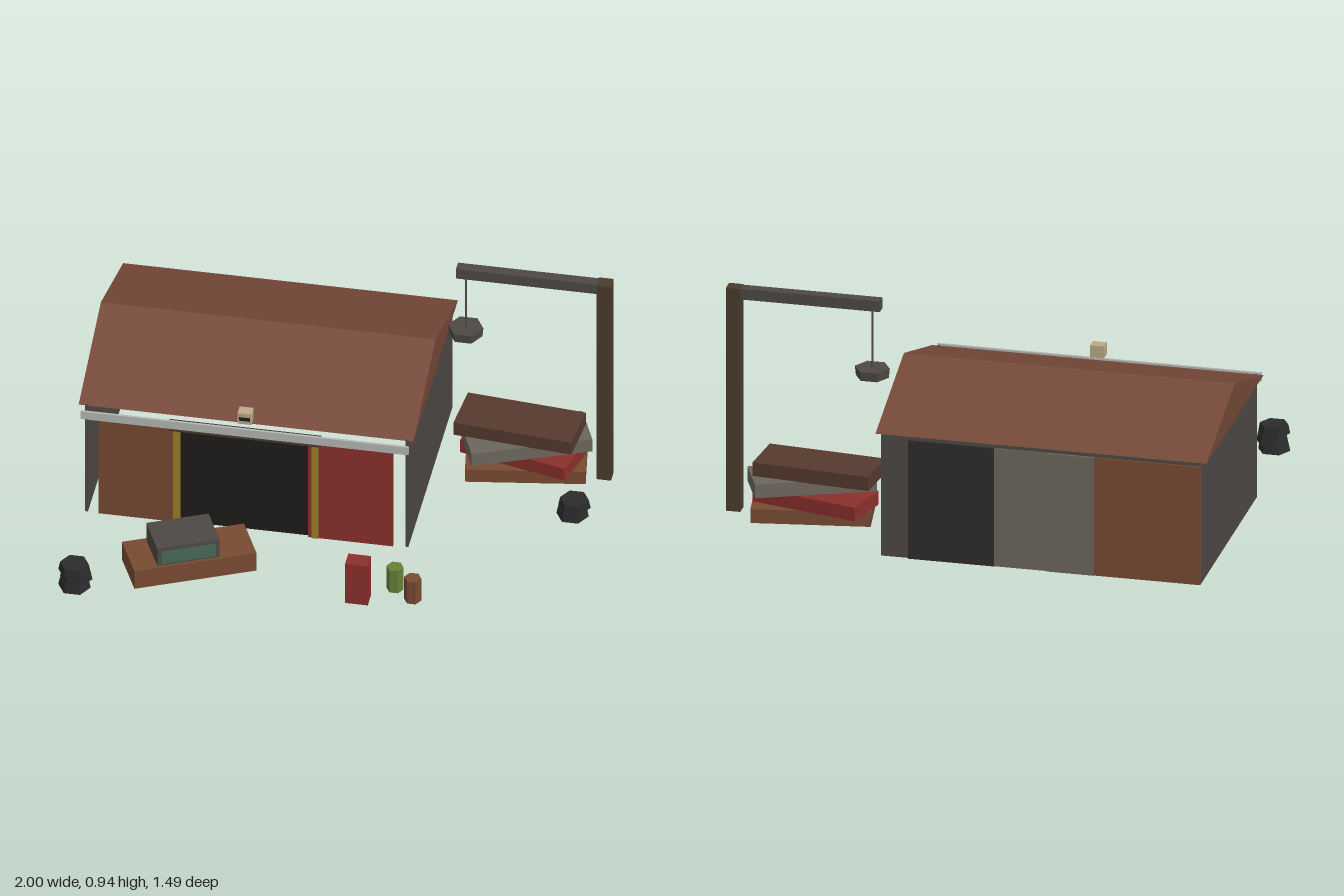
import * as THREE from 'three';

const COLORS = {
  roof: 0x744838, wall: 0x4d4844, rust: 0x774a32, red: 0x8a302c, black: 0x1e1c1a,
  charcoal: 0x2e2c2a, stone: 0x6c665c, yellow: 0x9c8028, rail: 0xb4b8b4, timber: 0x4a3a2e,
  darkRust: 0x55392e, tyre: 0x2b2b2b, glass: 0x46685a, green: 0x678038, lamp: 0xb8aa88,
};

const materials = {};
function material(name) {
  materials[name] ??= new THREE.MeshStandardMaterial({ color: COLORS[name], flatShading: true });
  return materials[name];
}

function add(parent, name, geometry, color, x, y, z, ry = 0) {
  const mesh = new THREE.Mesh(geometry, material(color));
  mesh.name = name;
  mesh.position.set(x, y, z);
  mesh.rotation.y = ry;
  parent.add(mesh);
  return mesh;
}

// Box given by its extents on each axis
function block(parent, name, color, [x0, x1], [y0, y1], [z0, z1]) {
  return add(parent, name, new THREE.BoxGeometry(x1 - x0, y1 - y0, z1 - z0), color,
    (x0 + x1) / 2, (y0 + y1) / 2, (z0 + z1) / 2);
}

// Six-sided drum with corners on the x axis
function drum(parent, name, color, rTop, rBottom, height, x, y, z) {
  return add(parent, name, new THREE.CylinderGeometry(rTop, rBottom, height, 6), color,
    x, y + height / 2, z, Math.PI / 6);
}

function group(parent, name) {
  const g = new THREE.Group();
  g.name = name;
  parent.add(g);
  return g;
}

function buildShed(parent) {
  const shed = group(parent, 'shed');

  // Gabled roof: solid triangle drawn along x
  const gable = new THREE.Shape();
  gable.moveTo(-0.2, 0.512);
  gable.lineTo(0.742, 0.512);
  gable.lineTo(0.271, 0.665);
  gable.closePath();
  const roof = new THREE.ExtrudeGeometry(gable, { depth: 1.325, bevelEnabled: false });
  roof.rotateY(Math.PI / 2);
  add(shed, 'roof', roof, 'roof', -1, 0, 0);

  // Side and back walls
  block(shed, 'leftWall', 'wall', [0.293, 0.305], [0, 0.514], [-0.73, 0.2]);
  block(shed, 'rightWall', 'wall', [-0.975, -0.963], [0, 0.514], [-0.73, 0.2]);
  block(shed, 'backWall', 'wall', [-0.975, 0.305], [0, 0.512], [-0.735, -0.725]);

  // Patchwork sheets over the back wall
  const sheets = [
    ['charcoal', -0.15, 0.195, -0.743], ['stone', -0.36, -0.15, -0.74],
    ['stone', -0.55, -0.36, -0.745], ['rust', -0.975, -0.55, -0.742],
  ];
  for (const [color, x0, x1, z] of sheets)
    block(shed, 'backSheet', color, [x0, x1], [0, 0.495], [z, -0.73]);

  // Front: sliding panels, dark doorway, yellow posts
  block(shed, 'rustDoor', 'rust', [-0.92, -0.61], [0, 0.48], [0.192, 0.204]);
  block(shed, 'redDoor', 'red', [-0.09, 0.245], [0, 0.48], [0.192, 0.207]);
  block(shed, 'doorway', 'black', [-0.61, -0.085], [0, 0.45], [0.188, 0.196]);
  for (const x of [-0.611, -0.063])
    block(shed, 'doorPost', 'yellow', [x - 0.014, x + 0.014], [0, 0.455], [0.197, 0.212]);
  block(shed, 'lintel', 'timber', [-0.64, -0.04], [0.445, 0.49], [0.198, 0.216]);
  block(shed, 'doorRail', 'rail', [-0.985, 0.312], [0.472, 0.508], [0.228, 0.238]);

  // Lamp over the door
  const lamp = group(shed, 'lamp');
  block(lamp, 'lampBody', 'lamp', [-0.366, -0.31], [0.528, 0.578], [0.184, 0.23]);
  block(lamp, 'lampSlot', 'black', [-0.36, -0.316], [0.545, 0.56], [0.226, 0.233]);
}

function buildCrane(parent) {
  const crane = group(parent, 'crane');
  block(crane, 'post', 'timber', [0.942, 1], [0, 0.935], [-0.428, -0.372]);
  block(crane, 'beam', 'wall', [0.385, 0.942], [0.89, 0.935], [-0.422, -0.378]);
  add(crane, 'cable', new THREE.CylinderGeometry(0.004, 0.004, 0.26, 6), 'wall', 0.42, 0.77, -0.4);
  drum(crane, 'magnet', 'wall', 0.07, 0.066, 0.038, 0.42, 0.609, -0.4);
}

function buildScrapPile(parent) {
  // Crushed slabs: color, length, width, base, x, z, turn
  const pile = group(parent, 'scrapPile');
  const slabs = [
    ['rust', 0.47, 0.2, 0, 0.66, -0.395, 0.15],
    ['red', 0.45, 0.2, 0.06, 0.645, -0.41, -0.25],
    ['stone', 0.48, 0.19, 0.12, 0.665, -0.385, 0.39],
    ['darkRust', 0.477, 0.206, 0.177, 0.633, -0.4, -0.095],
  ];
  for (const [color, length, width, y, x, z, turn] of slabs)
    add(pile, 'crushedSlab', new THREE.BoxGeometry(length, 0.058, width), color, x, y + 0.029, z, turn);
}

function buildWreck(parent) {
  // Wheel-less car shell
  const wreck = group(parent, 'carWreck');
  wreck.position.set(-0.502, 0, 0.522);
  wreck.rotation.y = 0.432;
  block(wreck, 'carBody', 'rust', [-0.245, 0.245], [0.038, 0.122], [-0.1, 0.1]);
  block(wreck, 'cab', 'wall', [-0.15, 0.1], [0.122, 0.205], [-0.088, 0.088]);
  block(wreck, 'sideWindows', 'glass', [-0.135, 0.085], [0.13, 0.188], [-0.091, 0.091]);
}

function buildTyres(parent, count, x, z) {
  const stack = group(parent, 'tyreStack');
  for (let i = 0; i < count; i++) {
    const shift = (i % 2 ? 1 : -1) * 0.003;
    drum(stack, 'tyre', 'tyre', 0.057, 0.064, 0.036, x + shift, i * 0.037, z - shift);
  }
}

export function createModel() {
  const model = new THREE.Group();
  model.name = 'scrapyard';
  buildShed(model);
  buildCrane(model);
  buildScrapPile(model);
  buildWreck(model);
  buildTyres(model, 3, -0.922, 0.685);
  buildTyres(model, 2, 0.897, -0.13);

  // Loose items in the yard
  block(model, 'redCabinet', 'red', [0.13, 0.22], [0, 0.188], [0.535, 0.605]);
  drum(model, 'greenBarrel', 'green', 0.034, 0.034, 0.106, 0.304, 0, 0.476);
  drum(model, 'rustBarrel', 'rust', 0.034, 0.034, 0.106, 0.385, 0, 0.535);
  return model;
}
